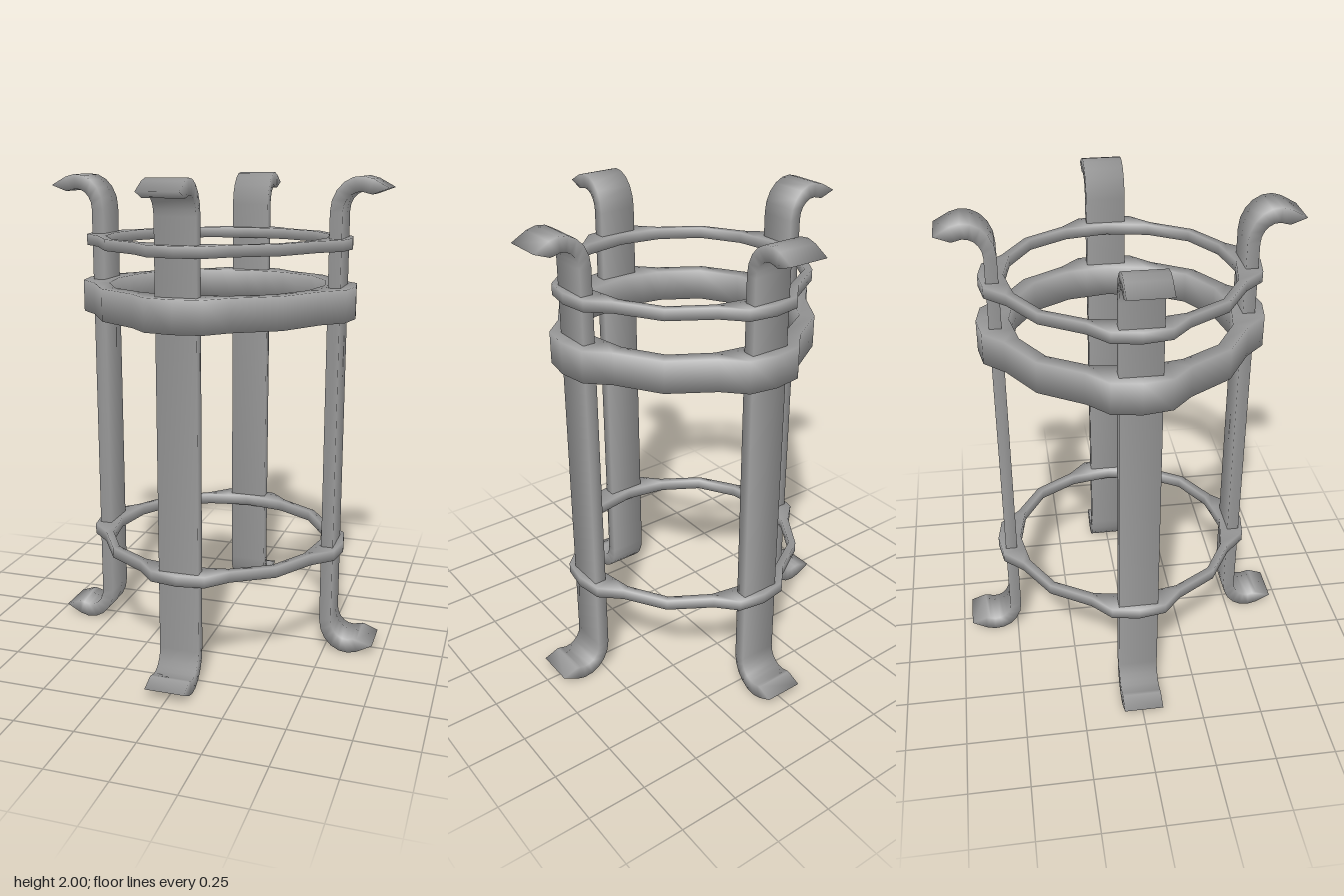
import * as THREE from 'three';

const material = new THREE.MeshStandardMaterial({ color: 0x9e9e9e });

const direction = (from, to) => to.clone().sub(from).normalize();

// Skin a row of four-cornered cross-sections; closed or capped.
// Normals weigh neighbouring faces equally, so edges shade softly.
function skin(sections, closed, name) {
  const n = sections.length, index = [], positions = [], normals = [];
  for (let i = 0; i < n; i++) {
    const first = !closed && i === 0, last = !closed && i === n - 1;
    const k = (i + 1) % n, p = (i + n - 1) % n;
    for (let j = 0; j < 4; j++) {
      const m = (j + 1) % 4, point = sections[i][j];
      const edgeIn = direction(sections[i][(j + 3) % 4], point);
      const edgeOut = direction(point, sections[i][m]);
      const along = new THREE.Vector3();
      if (!first) along.add(direction(sections[p][j], point));
      if (!last) along.add(direction(point, sections[k][j]));
      const normal = edgeIn.clone().add(edgeOut).cross(along.normalize());
      const cap = edgeIn.cross(edgeOut);
      if (first) normal.sub(cap);
      if (last) normal.add(cap);
      positions.push(...point);
      normals.push(...normal.normalize());
      if (!last) {
        const a = i * 4 + j, b = i * 4 + m, c = k * 4 + m, d = k * 4 + j;
        index.push(a, b, c, a, c, d);
      }
    }
  }
  if (!closed) {
    const e = (n - 1) * 4;
    index.push(0, 2, 1, 0, 3, 2, e, e + 1, e + 2, e, e + 2, e + 3);
  }
  const geometry = new THREE.BufferGeometry();
  geometry.setAttribute('position', new THREE.Float32BufferAttribute(positions, 3));
  geometry.setAttribute('normal', new THREE.Float32BufferAttribute(normals, 3));
  geometry.setIndex(index);
  const mesh = new THREE.Mesh(geometry, material);
  mesh.name = name;
  return mesh;
}

// Flat upright strap whose two ends curl outward.
function makeStrap(name) {
  const half = 0.082, top = [];
  for (let i = 0; i <= 6; i++) {
    const t = Math.PI * (1 - i / 9.6);
    const c = Math.cos(t), s = Math.sin(t);
    // [inner radius, its height, outer radius, its height]
    top.push([0.6 + 0.12 * c, 1.86 + 0.14 * s, 0.6 + 0.07 * c, 1.86 + 0.08 * s]);
  }
  top.push([0.71, 1.954, 0.645, 1.93]);
  const bottom = top.map(([a, ya, b, yb]) => [a, 2 - ya, b, 2 - yb]).reverse();
  const sections = [...bottom, ...top].map(([a, ya, b, yb]) => [
    new THREE.Vector3(-half, yb, b), new THREE.Vector3(half, yb, b),
    new THREE.Vector3(half, ya, a), new THREE.Vector3(-half, ya, a),
  ]);
  return skin(sections, false, name);
}

// Hoop that widens to wrap around each strap.
function makeHoop(name, y0, y1, insetOut, insetIn) {
  // One quarter: [angle in degrees, inner radius, outer radius]
  const quarter = [
    [0, 0.45, 0.58], [11.7, 0.443, 0.573], [22.4, 0.453, 0.516],
    [45, 0.462, 0.522], [67.6, 0.453, 0.516], [78.3, 0.443, 0.573],
  ];
  const sections = [];
  for (let q = 0; q < 4; q++) {
    for (const [deg, inner, outer] of quarter) {
      const t = THREE.MathUtils.degToRad(deg + q * 90);
      const at = (r, y) => new THREE.Vector3(r * Math.sin(t), y, r * Math.cos(t));
      const i = inner + insetIn, o = outer - insetOut;
      sections.push([at(o, y1), at(o, y0), at(i, y0), at(i, y1)]);
    }
  }
  return skin(sections, true, name);
}

export function createModel() {
  const model = new THREE.Group();
  model.name = 'strapStand';

  // Four straps around the axis
  ['frontStrap', 'leftStrap', 'backStrap', 'rightStrap'].forEach((name, i) => {
    const strap = makeStrap(name);
    strap.rotation.y = i * Math.PI / 2;
    model.add(strap);
  });

  // Two thin hoops and one wide band
  model.add(makeHoop('lowerHoop', 0.427, 0.472, 0.02, 0.01));
  model.add(makeHoop('wideBand', 1.434, 1.565, 0, 0));
  model.add(makeHoop('upperHoop', 1.712, 1.757, 0.02, 0.01));
  return model;
}
